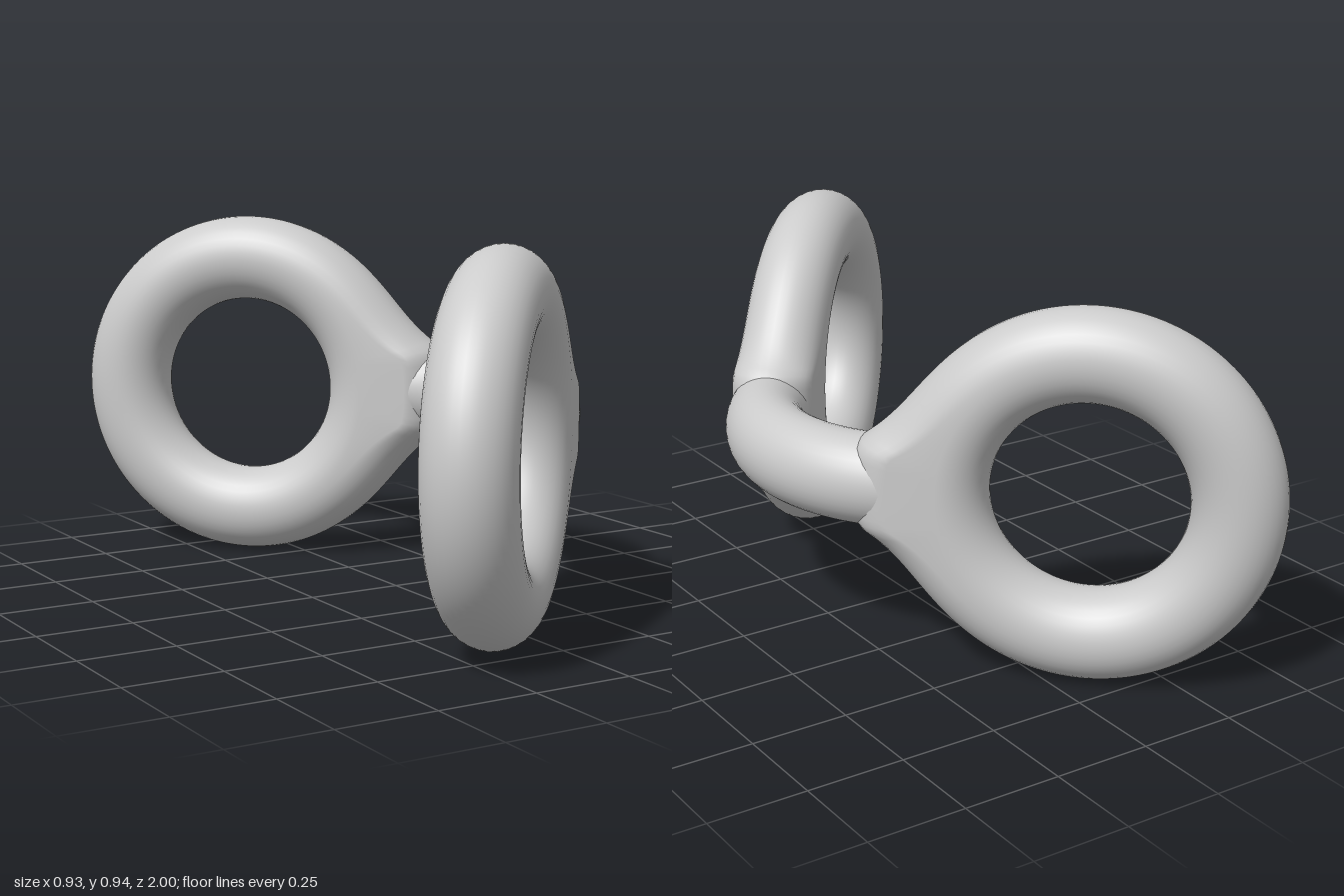
import * as THREE from 'three';

const CENTRE_Y = 0.47;
const RING = 0.355;        // ring centreline radius
const TUBE = 0.115;        // in-plane tube radius
const THICK = 0.11;        // half thickness across the ring plane
const BEND = 0.42;         // radius of the bar's bend
const BEND_X = -0.06;      // centre of the bend
const BEND_START = 0.477;  // distance from ring centre to where the bend begins

// Point at distance u along the spine from the ring centre, v up, w sideways.
// The spine runs straight, then follows the bend.
function onSpine(u, v, w) {
  const past = Math.max(0, u - BEND_START);
  const straight = Math.min(0, u - BEND_START);
  const a = Math.PI / 4 - past / BEND;
  const r = BEND + w;
  return new THREE.Vector3(
    BEND_X + r * Math.cos(a) + straight * Math.SQRT1_2,
    v,
    r * Math.sin(a) - straight * Math.SQRT1_2
  );
}

// Ring whose outer edge flares smoothly into the neck of the bar
function ringGeometry(around = 180, sides = 36) {
  const positions = [];
  const index = [];
  for (let i = 0; i < around; i++) {
    const t = (i / around) * Math.PI * 2;
    const off = Math.min(t, Math.PI * 2 - t);
    const flare = Math.min(0.1, 0.3 * Math.exp(-5.73 * off));
    for (let j = 0; j < sides; j++) {
      const p = (j / sides) * Math.PI * 2;
      const c = Math.cos(p);
      const r = RING + TUBE * c + (c > 0.001 ? flare : 0);
      const q = onSpine(r * Math.cos(t), r * Math.sin(t), THICK * Math.sin(p));
      positions.push(q.x, q.y, q.z);

      const i2 = (i + 1) % around;
      const j2 = (j + 1) % sides;
      const a = i * sides + j, b = i2 * sides + j;
      const d = i * sides + j2, e = i2 * sides + j2;
      index.push(a, b, e, a, e, d);
    }
  }
  const g = new THREE.BufferGeometry();
  g.setAttribute('position', new THREE.Float32BufferAttribute(positions, 3));
  g.setIndex(index);
  g.computeVertexNormals();
  return g;
}

// Curved bar running from inside one ring to inside the other
function barGeometry() {
  const start = 0.4;
  const middle = BEND_START + BEND * Math.PI / 4;
  const points = [];
  for (let k = -12; k <= 12; k++) {
    const q = onSpine(middle - (Math.abs(k) / 12) * (middle - start), 0, 0);
    if (k > 0) q.z *= -1;
    points.push(q);
  }
  return new THREE.TubeGeometry(new THREE.CatmullRomCurve3(points), 96, 0.105, 36);
}

export function createModel() {
  const model = new THREE.Group();
  model.name = 'linkedRings';
  const material = new THREE.MeshStandardMaterial({ color: 0xcccccc });

  // Two rings; the rear one is the front one turned over
  const ring = ringGeometry();
  for (const [name, turn] of [['frontRing', 0], ['rearRing', Math.PI]]) {
    const mesh = new THREE.Mesh(ring, material);
    mesh.name = name;
    mesh.position.y = CENTRE_Y;
    mesh.rotation.x = turn;
    model.add(mesh);
  }

  // Bar, slightly taller than wide
  const bar = new THREE.Mesh(barGeometry(), material);
  bar.name = 'connectingBar';
  bar.position.y = CENTRE_Y;
  bar.scale.y = TUBE / 0.105;
  model.add(bar);

  return model;
}
